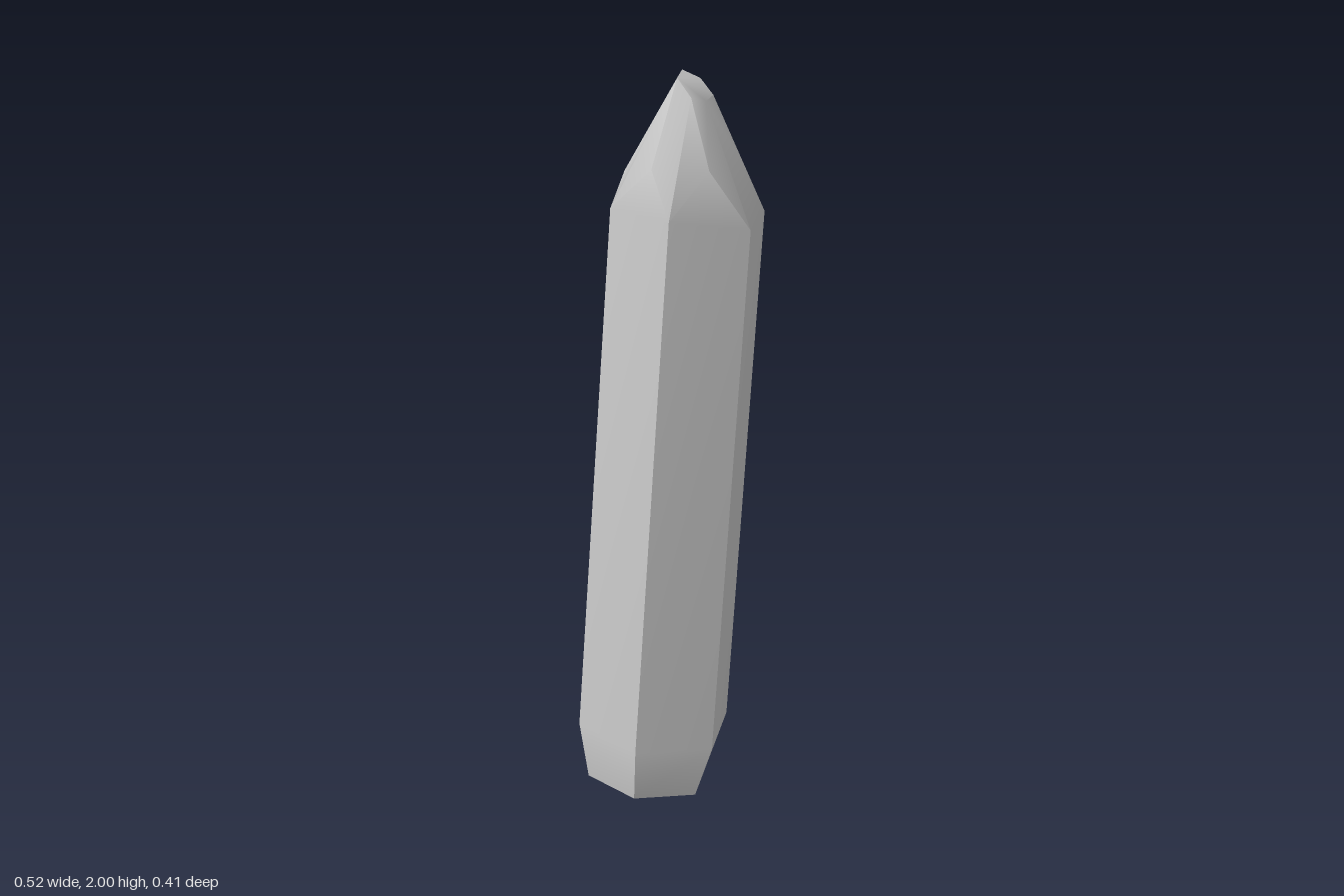
import * as THREE from 'three';

// Six-sided cross-sections, ordered left, front left, front right, right, back right, back left
const foot = [[-0.24, 0.03, -0.015], [-0.16, 0.024, 0.14], [0.015, 0.01, 0.165], [0.115, 0.003, 0.015], [0.04, 0.008, -0.145], [-0.13, 0.022, -0.155]];
const lower = [[-0.263, 0.2, -0.02], [-0.168, 0.185, 0.173], [0.05, 0.17, 0.2], [0.175, 0.165, 0.02], [0.085, 0.175, -0.19], [-0.142, 0.195, -0.204]];
const shoulder = [[-0.155, 1.66, -0.01], [-0.07, 1.65, 0.175], [0.14, 1.62, 0.202], [0.261, 1.63, 0.028], [0.178, 1.64, -0.175], [-0.03, 1.65, -0.19]];
// Peaks where each side face rises between two shoulder corners
const gable = [[-0.085, 1.77, 0.098], [0.035, 1.77, 0.182], [0.17, 1.76, 0.1], [0.183, 1.75, -0.06], [0.075, 1.66, -0.18], [-0.085, 1.74, -0.09]];
const tip = [[0, 1.985, 0.058], [0.02, 1.94, 0.1], [0.06, 1.93, 0.1], [0.095, 1.94, 0.065], [0.078, 1.978, 0.022], [0.03, 2, 0.018]];

// Area-weighted smooth normals that stay sharp across edges steeper than the crease angle
function creasedGeometry(triangles, creaseAngle) {
  const faceNormals = triangles.map(([a, b, c]) => {
    const va = new THREE.Vector3(...a);
    return new THREE.Vector3(...b).sub(va).cross(new THREE.Vector3(...c).sub(va));
  });
  const positions = [], normals = [];
  triangles.forEach((corners, f) => {
    for (const corner of corners) {
      const normal = new THREE.Vector3();
      triangles.forEach((other, k) => {
        const touches = other.includes(corner);
        if (touches && faceNormals[f].angleTo(faceNormals[k]) < creaseAngle) normal.add(faceNormals[k]);
      });
      positions.push(...corner);
      normals.push(...normal.normalize().toArray());
    }
  });
  const geometry = new THREE.BufferGeometry();
  geometry.setAttribute('position', new THREE.Float32BufferAttribute(positions, 3));
  geometry.setAttribute('normal', new THREE.Float32BufferAttribute(normals, 3));
  return geometry;
}

export function createModel() {
  const triangles = [];
  const tri = (a, b, c) => triangles.push([a, b, c]);
  const quad = (a, b, c, d) => { tri(a, b, c); tri(a, c, d); };

  for (let i = 0; i < 6; i++) {
    const j = (i + 1) % 6;
    // base bevel and long side
    quad(foot[i], foot[j], lower[j], lower[i]);
    quad(lower[i], lower[j], shoulder[j], shoulder[i]);
    // pointed top of the side, then the facets up to the tip
    tri(shoulder[i], shoulder[j], gable[i]);
    tri(shoulder[i], gable[i], tip[i]);
    tri(gable[i], shoulder[j], tip[j]);
    tri(gable[i], tip[j], tip[i]);
  }
  // tip facet and underside
  for (let i = 1; i < 5; i++) {
    tri(tip[0], tip[i], tip[i + 1]);
    tri(foot[0], foot[i + 1], foot[i]);
  }

  const stone = new THREE.MeshStandardMaterial({ color: 0xcccccc });
  stone.name = 'pale grey stone';
  const crystal = new THREE.Mesh(creasedGeometry(triangles, 0.56), stone);
  crystal.name = 'crystal';

  const group = new THREE.Group();
  group.name = 'crystalShard';
  group.add(crystal);
  return group;
}
